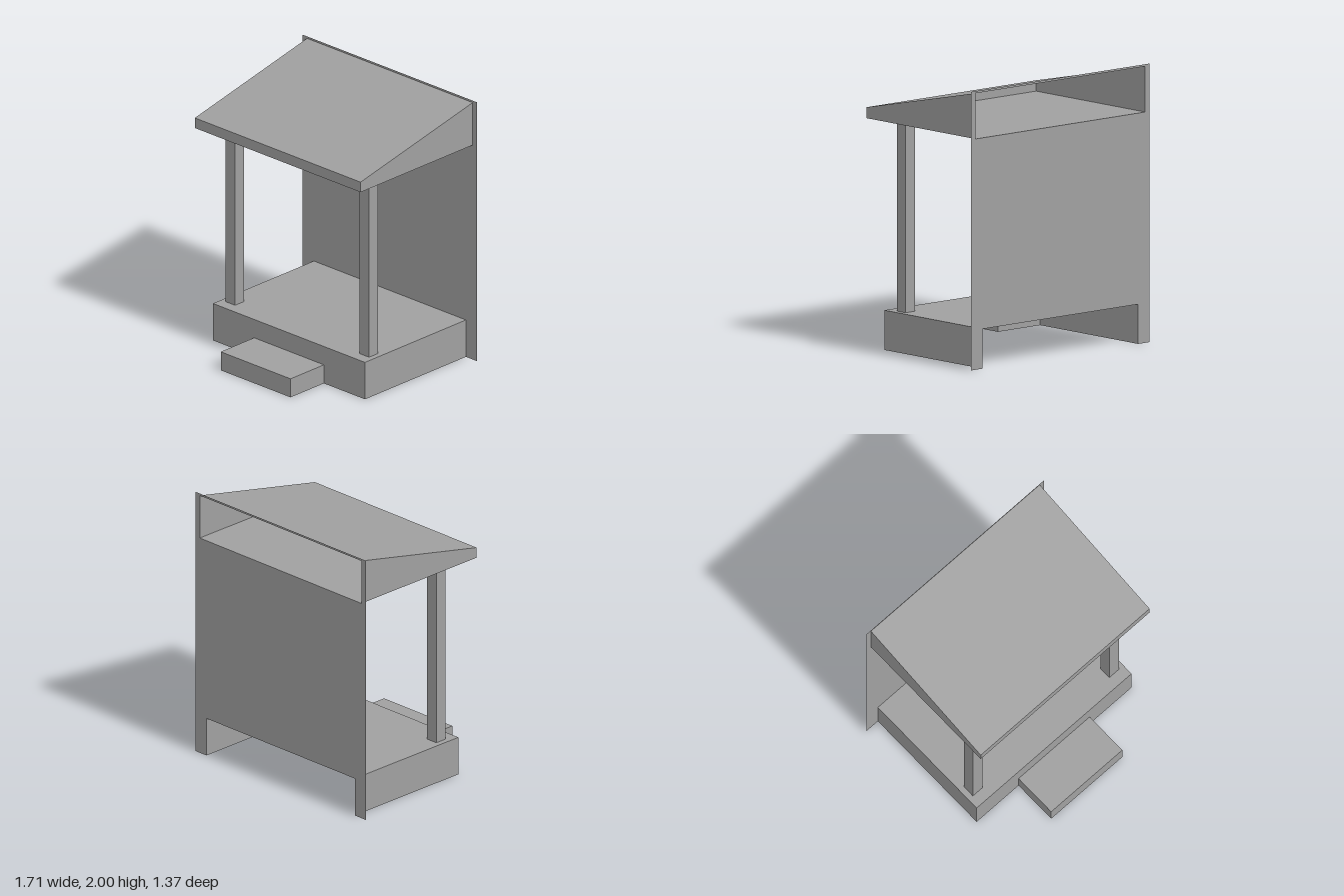
import * as THREE from 'three';

const grey = new THREE.MeshStandardMaterial({ color: 0xa0a0a0, side: THREE.DoubleSide });
grey.name = 'plain grey';

// Rectangle corners, in order
const rect = (u0, v0, u1, v1) => [[u0, v0], [u1, v0], [u1, v1], [u0, v1]];
const toPoints = (list) => list.map(([u, v]) => new THREE.Vector2(u, v));

// Thin flat panel: a 2D outline with holes, placed in space by a rule (u, v) -> [x, y, z]
function panel(name, outline, place, holes = []) {
  const shape = new THREE.Shape(toPoints(outline));
  holes.forEach((h) => shape.holes.push(new THREE.Path(toPoints(h))));
  const geometry = new THREE.ShapeGeometry(shape);
  const pos = geometry.attributes.position;
  for (let i = 0; i < pos.count; i++) pos.setXYZ(i, ...place(pos.getX(i), pos.getY(i)));
  geometry.computeVertexNormals();
  const mesh = new THREE.Mesh(geometry, grey);
  mesh.name = name;
  return mesh;
}

// Placement rules for the three main planes
const facingZ = (z) => (x, y) => [x, y, z];
const facingX = (x) => (z, y) => [x, y, z];
const facingY = (y) => (x, z) => [x, y, -z];

function part(name, ...meshes) {
  const group = new THREE.Group();
  group.name = name;
  group.add(...meshes);
  return group;
}

export function createModel() {
  const model = new THREE.Group();
  model.name = 'porch';

  const back = -0.685;
  const base = { w: 0.745, h: 0.285, front: 0.345 };
  const step = { w: 0.342, h: 0.143, front: 0.685 };
  const roof = { w: 0.812, y: 1.657, lip: 1.735, top: 1.985, front: 0.46 };
  const post = { x0: 0.61, x1: 0.703, z0: 0.168, z1: 0.26 };

  // Back wall sheet, open behind the base and the roof
  model.add(panel('backWall', [
    [-0.855, 0], [-base.w, 0], [-base.w, base.h], [base.w, base.h],
    [base.w, 0], [0.855, 0], [0.855, 2], [-0.855, 2],
  ], facingZ(back), [rect(-roof.w, roof.y, roof.w, roof.top)]));

  // Hollow base, open below; its deck is open inside the posts
  model.add(part('base',
    panel('deck', rect(-base.w, -base.front, base.w, -back), facingY(base.h), [
      rect(post.x0, -post.z1, post.x1, -post.z0),
      rect(-post.x1, -post.z1, -post.x0, -post.z0),
    ]),
    panel('baseFront', [
      [-base.w, 0], [-step.w, 0], [-step.w, step.h], [step.w, step.h],
      [step.w, 0], [base.w, 0], [base.w, base.h], [-base.w, base.h],
    ], facingZ(base.front)),
    ...[-1, 1].map((s) => panel('baseSide', rect(back, 0, base.front, base.h), facingX(s * base.w))),
  ));

  // Hollow front step
  model.add(part('step',
    panel('stepTop', rect(-step.w, -step.front, step.w, -base.front), facingY(step.h)),
    panel('stepFront', rect(-step.w, 0, step.w, step.h), facingZ(step.front)),
    ...[-1, 1].map((s) => panel('stepSide', rect(base.front, 0, step.front, step.h), facingX(s * step.w))),
  ));

  // Hollow square posts
  for (const s of [-1, 1]) {
    model.add(part(s > 0 ? 'leftPost' : 'rightPost',
      ...[post.z0, post.z1].map((z) =>
        panel('postFace', rect(s * post.x0, base.h, s * post.x1, roof.y), facingZ(z))),
      ...[post.x0, post.x1].map((x) =>
        panel('postSide', rect(post.z0, base.h, post.z1, roof.y), facingX(s * x))),
    ));
  }

  // Sloping wedge roof, hollow and open at the back
  const slope = (x, z) =>
    [x, THREE.MathUtils.mapLinear(z, back, roof.front, roof.top, roof.lip), z];
  model.add(part('roof',
    panel('roofSlope', rect(-roof.w, back, roof.w, roof.front), slope),
    panel('roofSoffit', rect(-roof.w, -roof.front, roof.w, -back), facingY(roof.y)),
    panel('roofFascia', rect(-roof.w, roof.y, roof.w, roof.lip), facingZ(roof.front)),
    ...[-1, 1].map((s) => panel('roofGable', [
      [back, roof.y], [roof.front, roof.y], [roof.front, roof.lip], [back, roof.top],
    ], facingX(s * roof.w))),
  ));

  return model;
}
